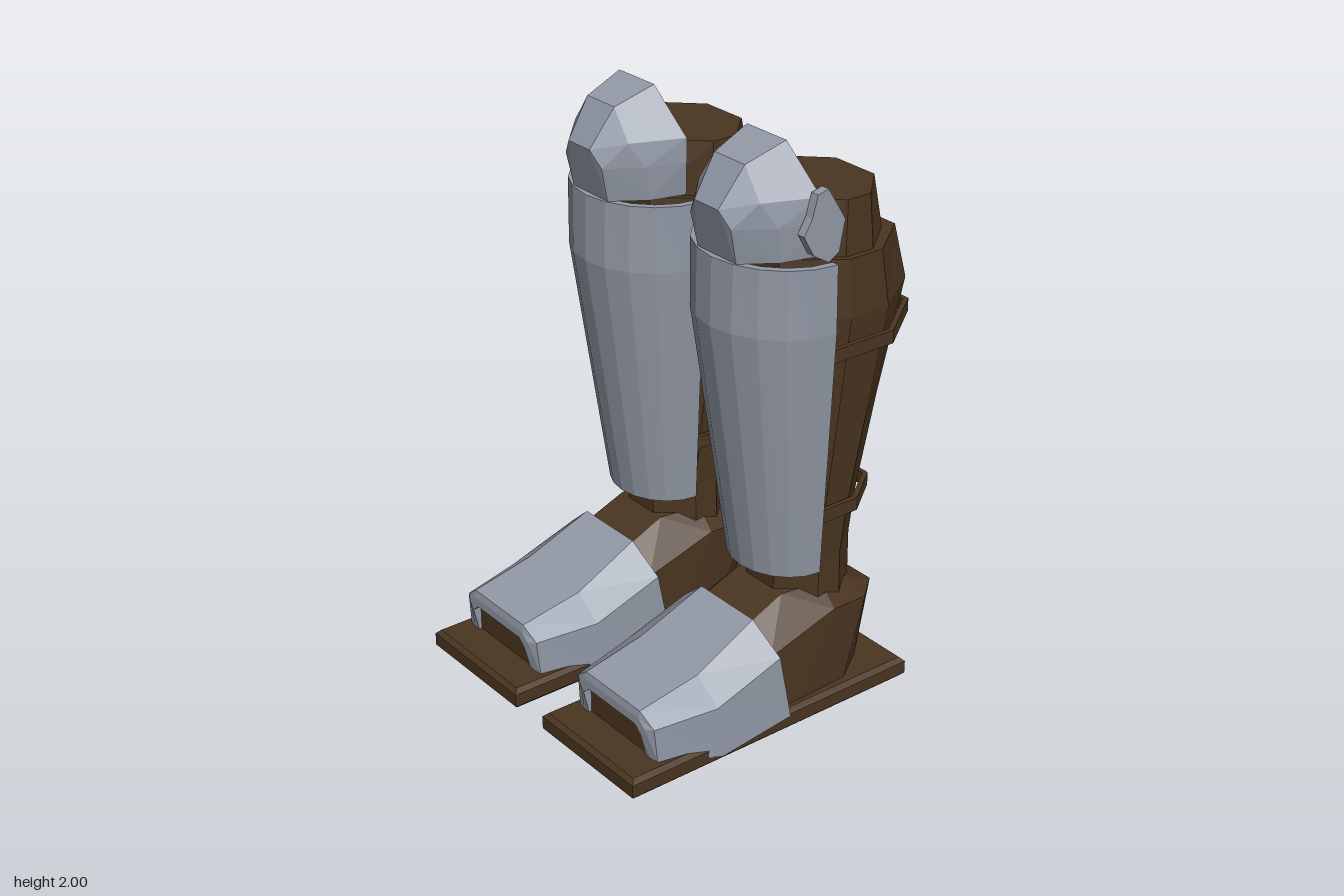
import * as THREE from 'three';
import { ConvexGeometry } from 'three/addons/geometries/ConvexGeometry.js';

const steel = new THREE.MeshStandardMaterial({ color: 0x9299a6, side: THREE.DoubleSide });
steel.name = 'steel';
const leather = new THREE.MeshStandardMaterial({ color: 0x4a3520 });
leather.name = 'brown leather';

function part(group, name, geometry, material) {
  const mesh = new THREE.Mesh(geometry, material);
  mesh.name = name;
  group.add(mesh);
  return mesh;
}

// Faceted skin over rows of [x, y, z] points
function skin(rows, closed) {
  const pos = [];
  const n = rows[0].length;
  for (let i = 0; i < rows.length - 1; i++) {
    for (let j = 0; j < (closed ? n : n - 1); j++) {
      const k = (j + 1) % n;
      const a = rows[i][j], b = rows[i][k], c = rows[i + 1][k], d = rows[i + 1][j];
      pos.push(...a, ...b, ...c, ...a, ...c, ...d);
    }
  }
  const g = new THREE.BufferGeometry();
  g.setAttribute('position', new THREE.Float32BufferAttribute(pos, 3));
  g.computeVertexNormals();
  return g;
}

// Convex solid from the points of one half, mirrored across x
function mirroredHull(half) {
  return new ConvexGeometry(half.flatMap(([x, y, z]) =>
    [new THREE.Vector3(x, y, z), new THREE.Vector3(-x, y, z)]));
}

// Octagonal tube from rings of [y, half width, back z, front z], closed at both ends
function octagonTube(rings) {
  const rows = rings.map(([y, w, zb, zf]) => {
    const c = w * 0.44, d = (zf - zb) * 0.36;
    return [[-c, y, zf], [c, y, zf], [w, y, zf - d], [w, y, zb + d],
      [c, y, zb], [-c, y, zb], [-w, y, zb + d], [-w, y, zf - d]];
  });
  const centre = ([y, , zb, zf]) => Array(8).fill([0, y, (zb + zf) / 2]);
  return skin([centre(rings[0]), ...rows, centre(rings[rings.length - 1])], true);
}

// Flat [x, z] outline raised to a height
function slab(outline, y, height, bevel = 0) {
  const shape = new THREE.Shape(outline.map(([x, z]) => new THREE.Vector2(x, -z)));
  return new THREE.ExtrudeGeometry(shape, {
    depth: height - 2 * bevel, bevelEnabled: bevel > 0, bevelSize: bevel,
    bevelThickness: bevel, bevelSegments: 1,
  }).rotateX(-Math.PI / 2).translate(0, y + bevel, 0);
}

// Curved shin plate with thickness, swept from one side to the other
function greaveGeometry() {
  const levels = [[1.655, 0.277, 0.11, -0.145], [1.43, 0.273, 0.115, -0.152], [0.55, 0.19, -0.02, -0.19]];
  const column = (t, thick) => {
    const at = ([y, w, zf, zb], o) =>
      [-(w - o) * Math.cos(t), y, zb + (zf - zb - o) * Math.sin(t)];
    return [...levels.map(l => at(l, 0)), ...[...levels].reverse().map(l => at(l, thick))];
  };
  const rows = [column(0, 0)];
  for (let i = 0; i <= 10; i++) rows.push(column(i * Math.PI / 10, 0.025));
  rows.push(column(Math.PI, 0));
  return skin(rows, true);
}

// Open-toed foot plate: each row is one half of an arch, top to bottom
function toeCapGeometry() {
  const halves = [
    [[0.12, 0.225, 0.45], [0.15, 0.2, 0.45], [0.15, 0.115, 0.45]],
    [[0.12, 0.225, 0.5], [0.15, 0.2, 0.5], [0.15, 0.115, 0.48]],
    [[0.14, 0.255, 0.5], [0.17, 0.23, 0.5], [0.175, 0.115, 0.48]],
    [[0.14, 0.28, 0.495], [0.2, 0.235, 0.485], [0.205, 0.115, 0.475]],
    [[0.145, 0.325, 0.27], [0.245, 0.25, 0.27], [0.25, 0.065, 0.25]],
    [[0.13, 0.43, 0.035], [0.245, 0.335, 0.015], [0.25, 0.1, -0.03]],
    [[0.12, 0.4, 0.035], [0.215, 0.315, 0.015], [0.22, 0.1, -0.03]],
  ];
  return skin(halves.map(h => [
    ...[...h].reverse().map(([x, y, z]) => [-x, y, z]), ...h]), false);
}

// U-shaped band around the back of the calf
function strapGeometry(y, w, zFront, zSide, backW, zBack) {
  const t = 0.016;
  const right = [[w, zFront], [w, zSide], [backW, zBack]];
  const inner = [[w - t, zFront], [w - t, zSide + t / 2], [backW - t / 2, zBack + t]];
  const flip = pts => [...pts].reverse().map(([x, z]) => [-x, z]);
  return slab([...right, ...flip(right), ...inner.map(([x, z]) => [-x, z]), ...flip(inner).map(([x, z]) => [-x, z]).map(([x, z]) => [x, z]).map(([x, z]) => [-x, z]).map(([x, z]) => [-x, z])], y, 0.045);
}

function createLeg(side) {
  const leg = new THREE.Group();
  leg.name = side > 0 ? 'leftBoot' : 'rightBoot';

  // Sole and the steel plate under it
  part(leg, 'sole', slab([[-0.225, 0.585], [0.225, 0.585], [0.225, -0.525], [-0.225, -0.525]],
    0.04, 0.075, 0.015), leather);
  part(leg, 'underPlate', mirroredHull([
    [0.13, 0.045, 0.49], [0.22, 0.045, 0.35], [0.22, 0.045, 0.05], [0.17, 0.045, -0.05],
    [0.1, 0.012, 0.45], [0.16, 0.0, 0.3], [0.16, 0.0, 0.08], [0.14, 0.012, -0.05]]), steel);

  // Foot
  part(leg, 'foot', mirroredHull([
    [0.11, 0.11, -0.43], [0.09, 0.365, -0.505], [0.2, 0.11, -0.3], [0.17, 0.37, -0.41],
    [0.11, 0.43, -0.375], [0.13, 0.465, -0.25], [0.11, 0.465, -0.1], [0.2, 0.395, -0.25],
    [0.21, 0.11, -0.1], [0.12, 0.4, 0.03], [0.205, 0.32, 0.02], [0.21, 0.11, 0.03],
    [0.12, 0.22, 0.47], [0.15, 0.2, 0.47], [0.15, 0.11, 0.47]]), leather);
  part(leg, 'toeCap', toeCapGeometry(), steel);

  // Calf and the padding rising out of it
  part(leg, 'calf', octagonTube([
    [0.41, 0.158, -0.42, -0.1], [0.57, 0.155, -0.42, -0.1], [0.73, 0.165, -0.44, -0.1],
    [1.05, 0.2, -0.5, -0.08], [1.44, 0.236, -0.588, -0.05], [1.63, 0.225, -0.537, -0.07]]), leather);
  part(leg, 'calfLining', octagonTube([
    [1.6, 0.205, -0.495, -0.1], [1.63, 0.205, -0.49, -0.1], [1.81, 0.2, -0.452, -0.13]]), leather);

  // Straps
  part(leg, 'upperStrap', strapGeometry(1.32, 0.258, -0.145, -0.4, 0.11, -0.6), leather);
  part(leg, 'lowerStrap', strapGeometry(0.73, 0.195, -0.18, -0.335, 0.09, -0.475), leather);

  // Shin and knee armour
  part(leg, 'greave', greaveGeometry(), steel);
  part(leg, 'kneeCap', mirroredHull([
    [0.09, 2.0, -0.095], [0.21, 1.85, -0.13], [0.21, 1.77, -0.13], [0.195, 1.655, -0.14],
    [0.07, 1.95, 0.045], [0.055, 1.825, 0.132], [0.095, 1.77, 0.115], [0.09, 1.655, 0.09],
    [0.14, 1.85, 0.045], [0.17, 1.77, 0.0], [0.165, 1.655, -0.02]]), steel);

  // Fan plate on the outer side of the knee
  const fan = new THREE.Shape([[-0.1, 1.87], [-0.14, 1.88], [-0.21, 1.77], [-0.19, 1.67],
    [-0.15, 1.645], [-0.09, 1.68], [-0.05, 1.75], [-0.08, 1.8]]
    .map(([z, y]) => new THREE.Vector2(-z, y)));
  const fanPlate = part(leg, 'kneeFan', new THREE.ExtrudeGeometry(fan,
    { depth: 0.03, bevelEnabled: false }).rotateY(Math.PI / 2), steel);
  fanPlate.position.x = side > 0 ? 0.2 : -0.23;

  leg.position.x = side * 0.316;
  return leg;
}

export function createModel() {
  const model = new THREE.Group();
  model.name = 'armouredBoots';
  model.add(createLeg(1), createLeg(-1));
  return model;
}
